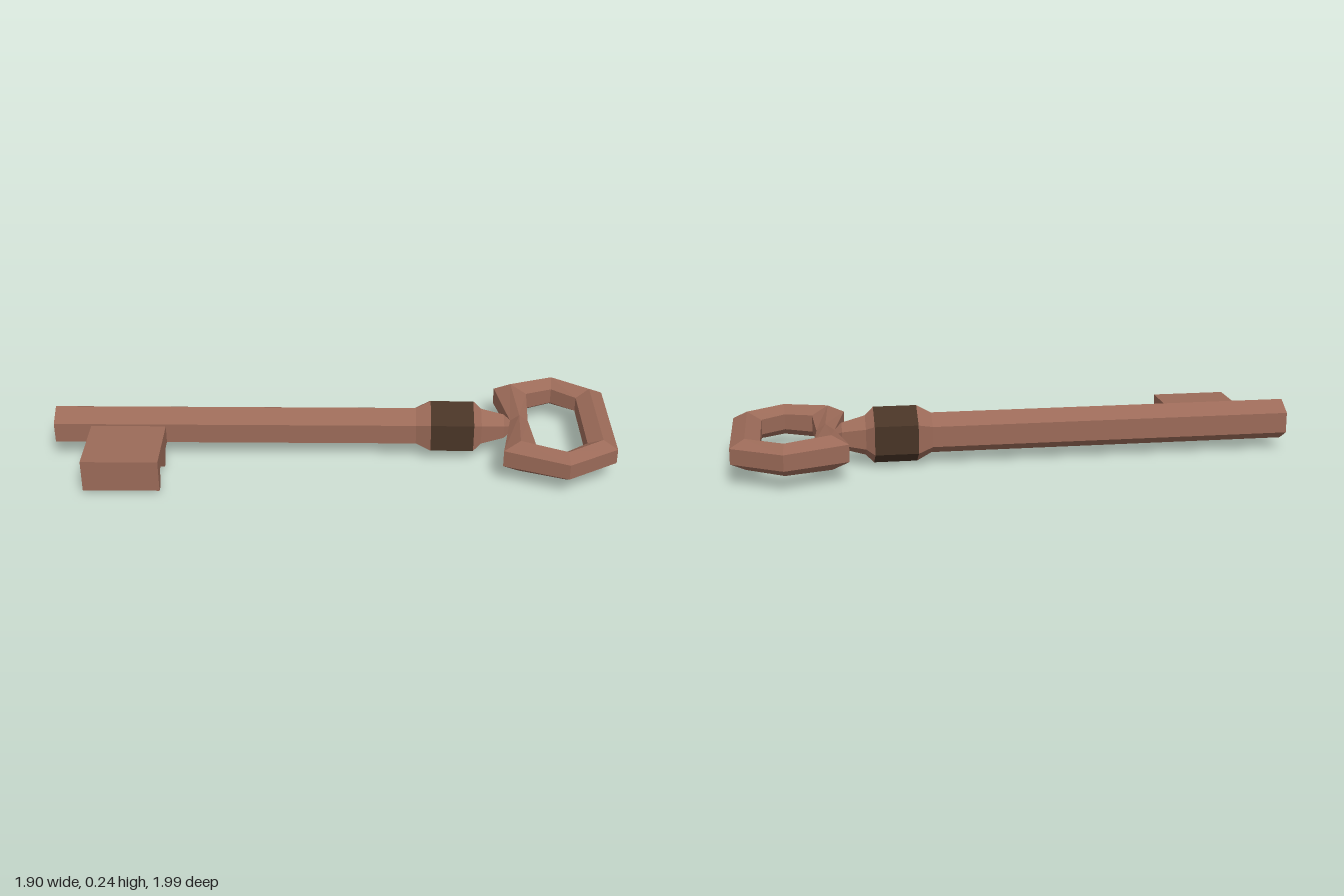
import * as THREE from 'three';

const AXIS_Y = 0.125;  // height of the shaft's axis
const AXIS_Z = -0.034; // sideways offset of the shaft's axis

function facet(geometry) {
  const g = geometry.index ? geometry.toNonIndexed() : geometry;
  g.computeVertexNormals();
  return g;
}

// Six-sided turned part along +x from [x, radius] pairs, with ridges at top and bottom
function turned(profile) {
  const points = profile.map(([x, r]) => new THREE.Vector2(r, x));
  const g = new THREE.LatheGeometry(points, 6, Math.PI / 2);
  g.rotateZ(-Math.PI / 2);
  g.translate(0, AXIS_Y, AXIS_Z);
  return facet(g);
}

// Closed handle loop with a hexagonal section that varies from corner to corner
function bowGeometry() {
  // outer x, outer z, inner x, inner z, half height
  const half = [
    [0.663, 0.263, 0.802, 0.217, 0.073],
    [0.926, 0.367, 0.918, 0.264, 0.067],
    [1.138, 0.240, 1.018, 0.190, 0.065],
  ];
  const mirrored = half.map(([ox, oz, ix, iz, h]) => [ox, -oz, ix, -iz, h]).reverse();
  const stations = [[0.712, 0, 0.788, 0, 0.055], ...half, ...mirrored];
  const positions = [];
  const index = [];
  for (const [ox, oz, ix, iz, h] of stations) {
    const section = [[0, 0.5], [0.5, 1], [1, 0.5], [1, -0.5], [0.5, -1], [0, -0.5]];
    for (const [t, y] of section) {
      positions.push(ox + (ix - ox) * t, AXIS_Y + y * h, AXIS_Z + oz + (iz - oz) * t);
    }
  }
  const n = stations.length;
  for (let i = 0; i < n; i++) {
    for (let k = 0; k < 6; k++) {
      const a = i * 6 + k;
      const b = i * 6 + (k + 1) % 6;
      const c = ((i + 1) % n) * 6 + k;
      const d = ((i + 1) % n) * 6 + (k + 1) % 6;
      index.push(a, c, b, b, c, d);
    }
  }
  const g = new THREE.BufferGeometry();
  g.setAttribute('position', new THREE.Float32BufferAttribute(positions, 3));
  g.setIndex(index);
  return facet(g);
}

// Notched plate, drawn across the shaft and extruded along it
function bitGeometry() {
  const outline = [
    [0, 0.16], [0, 0.082], [0.101, 0.082], [0.122, 0.022], [0.143, 0.022], [0.173, 0.093],
    [0.273, 0.093], [0.295, 0.022], [0.329, 0.022], [0.329, 0.16],
  ];
  const shape = new THREE.Shape(outline.map(([z, y]) => new THREE.Vector2(z, y)));
  const g = new THREE.ExtrudeGeometry(shape, { depth: 0.318, bevelEnabled: false });
  g.rotateY(-Math.PI / 2);
  g.translate(-0.76, 0, 0);
  return facet(g);
}

export function createModel() {
  const copper = new THREE.MeshStandardMaterial({ color: 0x9b6a58 });
  copper.name = 'copper brown';
  const dark = new THREE.MeshStandardMaterial({ color: 0x483426 });
  dark.name = 'dark brown';

  const model = new THREE.Group();
  model.name = 'key';
  const add = (name, geometry, material) => {
    const mesh = new THREE.Mesh(geometry, material);
    mesh.name = name;
    model.add(mesh);
  };

  // Shaft flares into the collar, then narrows into the neck
  add('shaft', turned([[-1.237, 0.0875], [0.306, 0.0875], [0.368, 0.122]]), copper);
  add('tipCap', turned([[-1.237, 0], [-1.237, 0.0875]]), dark);
  add('collar', turned([[0.368, 0.122], [0.55, 0.122]]), dark);
  add('neck', turned([[0.55, 0.122], [0.585, 0.086], [0.683, 0.058], [0.72, 0.022], [0.72, 0]]), copper);

  // Handle and tooth
  add('bow', bowGeometry(), copper);
  add('bit', bitGeometry(), copper);

  // The key lies diagonally
  model.rotation.y = Math.PI / 4;
  return model;
}
